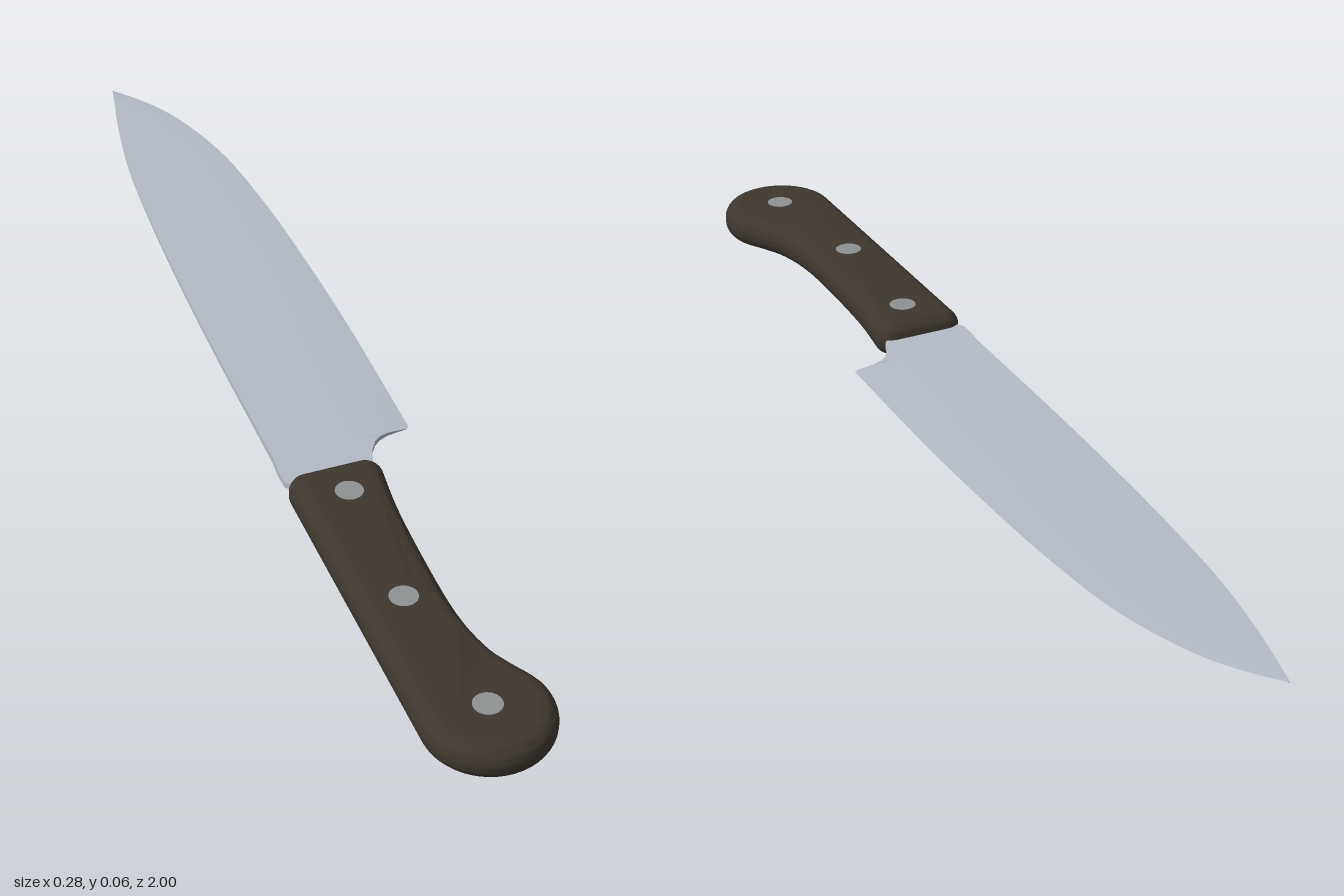
import * as THREE from 'three';
import { toCreasedNormals } from 'three/addons/utils/BufferGeometryUtils.js';

const MID = 0.032; // height of the knife's middle plane

const steel = new THREE.MeshStandardMaterial({ name: 'blade steel', color: 0xb4bbc5 });
steel.side = THREE.DoubleSide;
const wood = new THREE.MeshStandardMaterial({ name: 'dark handle', color: 0x3e372f });
const metal = new THREE.MeshStandardMaterial({ name: 'rivet metal', color: 0x8e9294 });

// Rows of [z, spine x, edge x], from the tip to the tang
function bladeRows() {
  const body = [
    [-1, -0.015, -0.013], [-0.965, -0.023, 0.015], [-0.885, -0.042, 0.063], [-0.725, -0.071, 0.111],
    [-0.53, -0.09, 0.131], [-0.3, -0.104, 0.137], [-0.1, -0.112, 0.136], [0.2, -0.12, 0.126],
  ];
  const curve = new THREE.CatmullRomCurve3(body.map((p) => new THREE.Vector3(...p)));
  const rows = curve.getPoints(56).map((p) => p.toArray());
  // rounded notch between heel and handle
  return rows.concat([
    [0.204, -0.12, 0.119], [0.206, -0.12, 0.085], [0.212, -0.121, 0.068], [0.222, -0.122, 0.056],
    [0.24, -0.124, 0.044], [0.27, -0.124, 0.033], [0.31, -0.09, 0.0],
  ]);
}

// Wedge-shaped blade lofted from cross-sections
function bladeGeometry() {
  const rows = bladeRows();
  const columns = [0, 0.4, 0.75, 0.9, 1];
  const ring = columns.length * 2;
  const pos = [], index = [];
  rows.forEach(([z, spine, edge]) => {
    const fullEdge = z > 0.2 ? 0.126 : edge;
    const taper = THREE.MathUtils.clamp(THREE.MathUtils.mapLinear(z, 0.2, -1, 1, 0.15), 0.15, 1);
    const point = (c, side) => {
      const x = THREE.MathUtils.lerp(spine, edge, c);
      const u = (x - spine) / (fullEdge - spine);
      const half = u < 0.75 ? 0.0058 - 0.0012 * u : 0.0049 * (1 - u) / 0.25;
      pos.push(x, MID + 0.001 + side * half * taper, z);
    };
    columns.forEach((c) => point(c, 1));
    [...columns].reverse().forEach((c) => point(c, -1));
  });
  for (let i = 0; i < rows.length - 1; i++) {
    for (let j = 0; j < ring; j++) {
      const k = (j + 1) % ring;
      const a = i * ring + j, b = i * ring + k, c = a + ring, d = b + ring;
      index.push(a, c, b, b, c, d);
    }
  }
  const geo = new THREE.BufferGeometry();
  geo.setAttribute('position', new THREE.Float32BufferAttribute(pos, 3));
  geo.setIndex(index);
  return toCreasedNormals(geo, 0.5);
}

// Handle outline, inset by the width of the rounded rim
function handleGeometry() {
  const rim = 0.028;
  const shape = new THREE.Shape();
  shape.moveTo(-0.099, 0.304);
  shape.lineTo(-0.11, 0.89);
  shape.absarc(-0.031, 0.89, 0.079, Math.PI, -0.55, true); // round butt
  shape.splineThru([
    [0.018, 0.815], [0, 0.772], [-0.013, 0.7], [-0.015, 0.6], [-0.006, 0.42], [0.009, 0.304],
  ].map((p) => new THREE.Vector2(...p)));
  shape.absarc(0.005, 0.304, 0.004, 0, -Math.PI / 2, true);
  shape.absarc(-0.095, 0.304, 0.004, -Math.PI / 2, -Math.PI, true);
  const geo = new THREE.ExtrudeGeometry(shape, {
    depth: 0.005, bevelThickness: 0.029, bevelSize: rim, bevelSegments: 8, curveSegments: 14,
  });
  geo.translate(0, 0, -0.0025);
  geo.rotateX(Math.PI / 2);
  geo.translate(0, MID, 0);
  return toCreasedNormals(geo, 0.6);
}

export function createModel() {
  const model = new THREE.Group();
  model.name = 'kitchenKnife';
  const add = (name, geo, mat) => {
    const mesh = new THREE.Mesh(geo, mat);
    mesh.name = name;
    model.add(mesh);
    return mesh;
  };

  add('blade', bladeGeometry(), steel);
  add('handle', handleGeometry(), wood);

  // Rivets pass through the handle and show on both faces
  [[-0.043, 0.355], [-0.058, 0.624], [-0.032, 0.89]].forEach(([x, z], i) => {
    add('rivet' + (i + 1), new THREE.CylinderGeometry(0.024, 0.024, 0.064, 24), metal)
      .position.set(x, MID, z);
  });
  return model;
}
